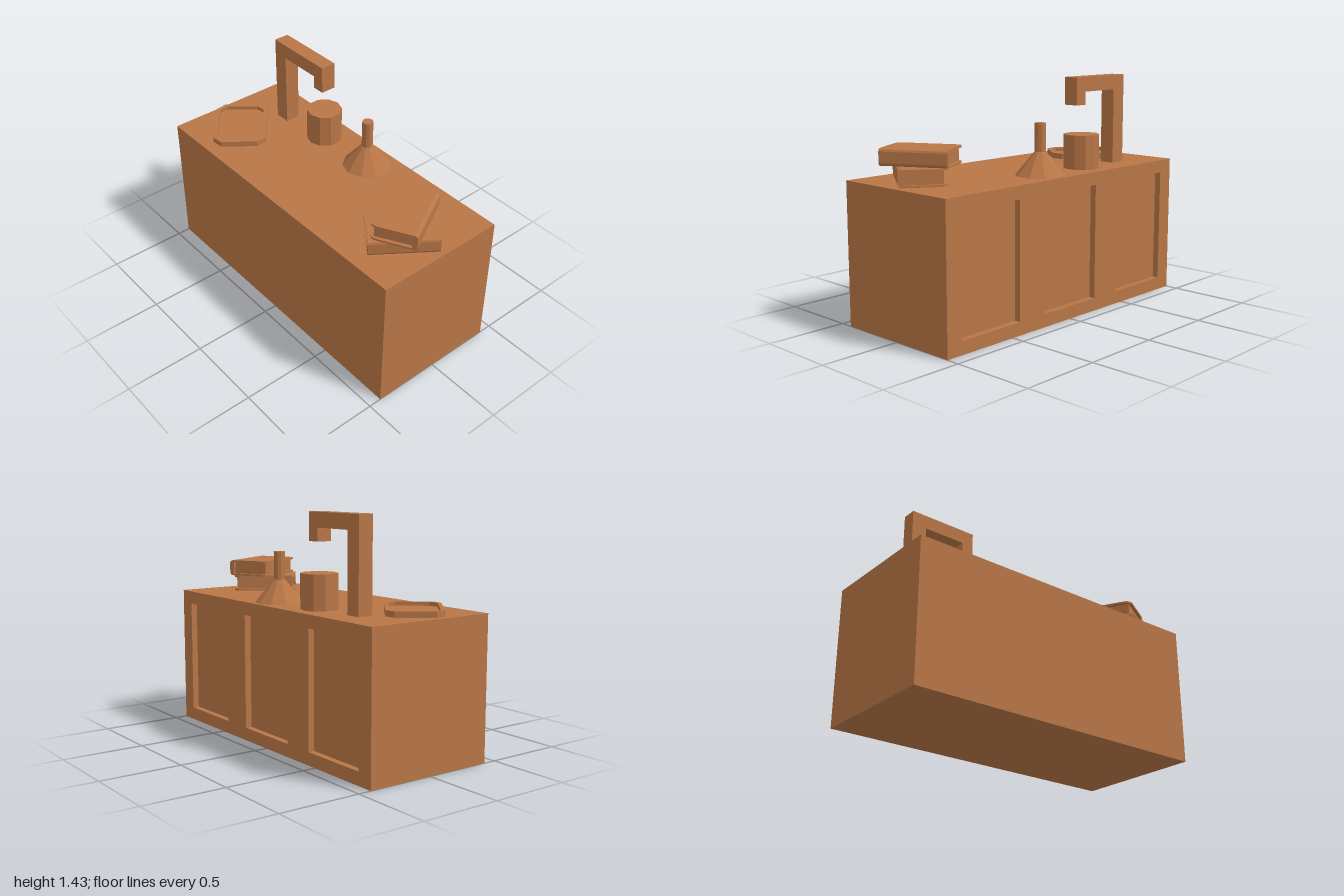
import * as THREE from 'three';

const clay = new THREE.MeshStandardMaterial({ color: 0xb87646, flatShading: true });
clay.name = 'clay brown';

const TOP = 0.87; // counter height

function add(parent, name, geometry, x = 0, y = 0, z = 0) {
  const mesh = new THREE.Mesh(geometry, clay);
  mesh.name = name;
  mesh.position.set(x, y, z);
  parent.add(mesh);
  return mesh;
}

function polygon(points, Type = THREE.Shape) {
  return new Type(points.map(([x, y]) => new THREE.Vector2(x, y)));
}

function rect(x0, y0, x1, y1) {
  return [[x0, y0], [x1, y0], [x1, y1], [x0, y1]];
}

function extrude(shape, depth, curveSegments = 4) {
  return new THREE.ExtrudeGeometry(shape, { depth, bevelEnabled: false, curveSegments });
}

// Extrude a plan shape upwards, starting at y = 0
function slab(shape, height) {
  return extrude(shape, height).rotateX(-Math.PI / 2);
}

// Rectangle with cut corners
function cutRect(a, b, c) {
  return [[-a + c, -b], [a - c, -b], [a, -b + c], [a, b - c],
    [a - c, b], [-a + c, b], [-a, b - c], [-a, -b + c]];
}

// Counter body with three recessed panels at the back
function createCounter() {
  const counter = new THREE.Group();
  counter.name = 'counter';
  const recess = 0.04;
  add(counter, 'counterBody', new THREE.BoxGeometry(2, TOP, 0.84 - recess), 0, TOP / 2, recess / 2);
  const frame = polygon(rect(-1, 0, 1, TOP));
  for (const x of [-0.668, 0, 0.668]) {
    frame.holes.push(polygon(rect(x - 0.228, 0.08, x + 0.228, 0.79), THREE.Path));
  }
  add(counter, 'backPanelFrame', extrude(frame, recess), 0, 0, -0.42);
  return counter;
}

// Square-section tap with a down-turned spout
function createTap(group) {
  const outline = polygon([[-0.69, TOP], [-0.59, TOP], [-0.59, 1.34], [-0.31, 1.34],
    [-0.31, 1.26], [-0.23, 1.26], [-0.23, 1.43], [-0.69, 1.43]]);
  add(group, 'tap', extrude(outline, 0.096), 0, 0, -0.262);
}

// Shallow tray with a raised rim
function createTray() {
  const tray = new THREE.Group();
  tray.name = 'tray';
  const rim = polygon(cutRect(0.215, 0.165, 0.05));
  rim.holes.push(polygon(cutRect(0.192, 0.142, 0.042), THREE.Path));
  add(tray, 'trayRim', slab(rim, 0.035));
  add(tray, 'trayFloor', slab(polygon(cutRect(0.2, 0.15, 0.045)), 0.012));
  tray.position.set(-0.725, TOP, 0.108);
  tray.rotation.y = -0.68;
  return tray;
}

// Book lying flat, spine towards local +x
function createBook(name, x, y, z, turn) {
  const book = new THREE.Group();
  book.name = name;
  const w = 0.14, l = 0.202, h = 0.1, t = 0.012, r = 0.05, back = w - 0.018;
  const cover = new THREE.Shape();
  cover.moveTo(back, -l);
  cover.lineTo(back, l);
  cover.lineTo(-w + r, l);
  cover.quadraticCurveTo(-w, l, -w, l - r);
  cover.lineTo(-w, -l + r);
  cover.quadraticCurveTo(-w, -l, -w + r, -l);
  cover.closePath();
  add(book, 'bottomCover', slab(cover, t));
  add(book, 'topCover', slab(cover, t), 0, h - t, 0);
  // Spine with softened long edges
  const spine = polygon([[back - 0.012, 0], [back, 0], [w - 0.005, 0.006], [w, 0.018],
    [w, h - 0.018], [w - 0.005, h - 0.006], [back, h], [back - 0.012, h]]);
  add(book, 'spine', extrude(spine, 2 * l), 0, 0, -l);
  // Page block set back on three sides
  add(book, 'pages', new THREE.BoxGeometry(back + w - 0.025, h - 2 * t, 2 * l - 0.04),
    (back - w + 0.025) / 2, h / 2, 0);
  book.position.set(x, y, z);
  book.rotation.y = turn;
  return book;
}

export function createModel() {
  const model = new THREE.Group();
  model.name = 'counterWithObjects';
  model.add(createCounter());
  createTap(model);
  model.add(createTray());

  // Ten-sided canister
  add(model, 'canister', new THREE.CylinderGeometry(0.11, 0.11, 0.21, 10), -0.3, TOP + 0.105, -0.241);

  // Conical flask with a narrow neck
  const flask = new THREE.Group();
  flask.name = 'flask';
  add(flask, 'flaskBody', new THREE.CylinderGeometry(0.034, 0.15, 0.14, 10), 0, 0.07, 0);
  add(flask, 'flaskNeck', new THREE.CylinderGeometry(0.034, 0.034, 0.17, 10), 0, 0.225, 0);
  flask.position.set(0.092, TOP, -0.253);
  model.add(flask);

  // Two stacked books
  model.add(createBook('lowerBook', 0.745, TOP + 0.002, 0.072, -0.623));
  model.add(createBook('upperBook', 0.746, TOP + 0.105, 0.054, 0.494));
  return model;
}
